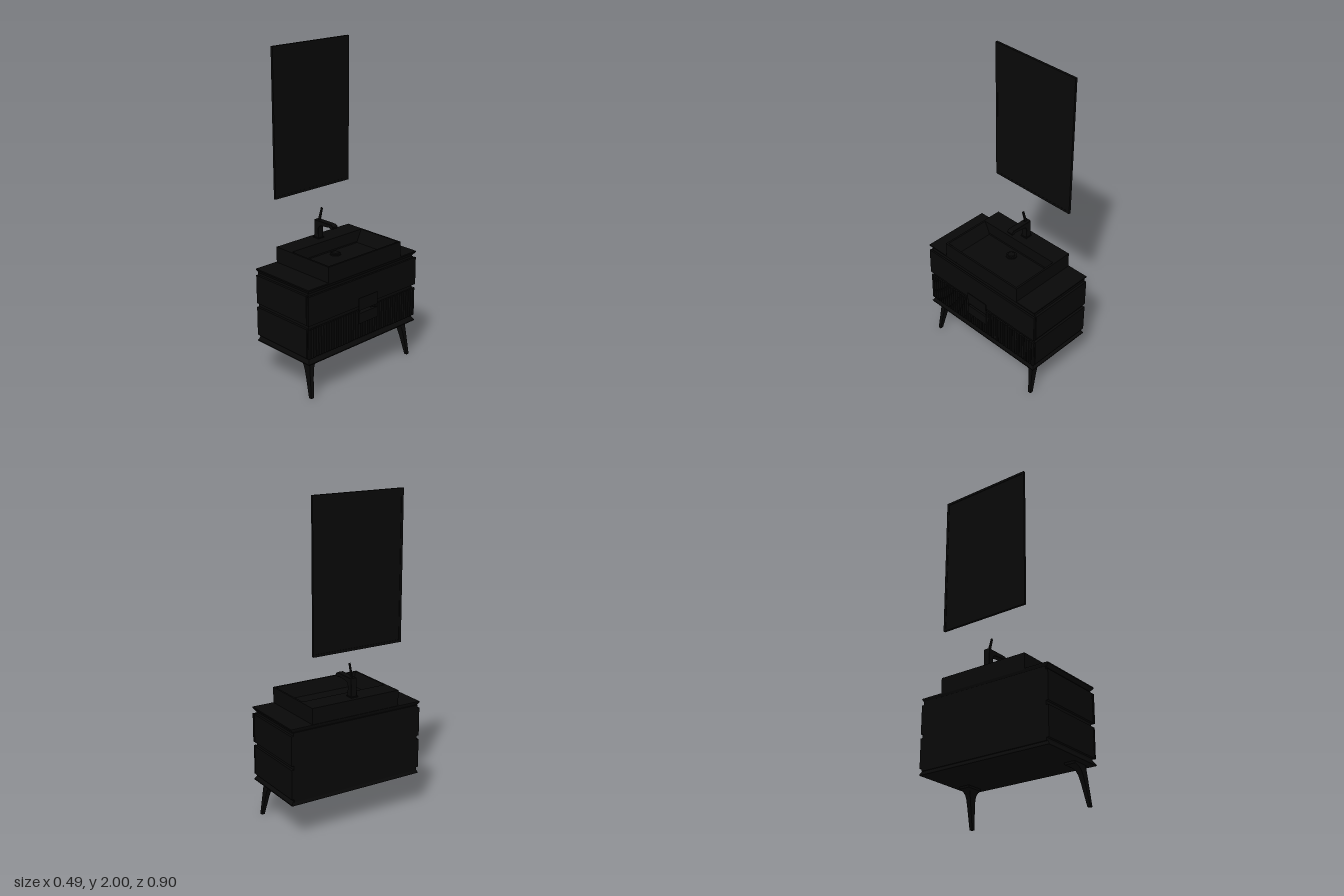
import * as THREE from 'three';

const material = new THREE.MeshStandardMaterial({ color: 0x080808, flatShading: true });

function add(parent, name, geometry) {
  const mesh = new THREE.Mesh(geometry, material);
  mesh.name = name;
  parent.add(mesh);
  return mesh;
}

// Box given by its limits on each axis
function block(parent, name, [x0, x1], [y0, y1], [z0, z1]) {
  const mesh = add(parent, name, new THREE.BoxGeometry(x1 - x0, y1 - y0, z1 - z0));
  mesh.position.set((x0 + x1) / 2, (y0 + y1) / 2, (z0 + z1) / 2);
  return mesh;
}

// Closed skin over rectangular sections, each [y, x0, x1, z0, z1]
function loft(sections) {
  const points = [], index = [];
  for (const [y, x0, x1, z0, z1] of sections) {
    points.push(x0, y, z1, x1, y, z1, x1, y, z0, x0, y, z0);
  }
  for (let s = 0; s < sections.length - 1; s++) {
    for (let i = 0; i < 4; i++) {
      const a = s * 4 + i, b = s * 4 + (i + 1) % 4;
      index.push(a, b, b + 4, a, b + 4, a + 4);
    }
  }
  const t = (sections.length - 1) * 4;
  index.push(t, t + 1, t + 2, t, t + 2, t + 3, 0, 2, 1, 0, 3, 2);
  const geometry = new THREE.BufferGeometry();
  geometry.setAttribute('position', new THREE.Float32BufferAttribute(points, 3));
  geometry.setIndex(index);
  const flat = geometry.toNonIndexed();
  flat.computeVertexNormals();
  return flat;
}

function buildCabinet() {
  const cabinet = new THREE.Group();
  cabinet.name = 'cabinet';
  block(cabinet, 'carcass', [-0.245, 0.195], [0.255, 0.68], [-0.435, 0.435]);

  // Bevelled top and bottom boards
  add(cabinet, 'countertop', loft([
    [0.67, -0.232, 0.195, -0.432, 0.432],
    [0.695, -0.245, 0.215, -0.45, 0.45],
    [0.702, -0.245, 0.215, -0.45, 0.45]]));
  add(cabinet, 'bottomBoard', loft([
    [0.232, -0.245, 0.215, -0.45, 0.45],
    [0.238, -0.245, 0.215, -0.45, 0.45],
    [0.265, -0.232, 0.195, -0.432, 0.432]]));

  // Side panels and drawer fronts, two rows with a gap between
  for (const [row, y] of [['upper', [0.48, 0.66]], ['lower', [0.272, 0.455]]]) {
    for (const s of [-1, 1]) {
      block(cabinet, row + 'SidePanel', [-0.245, 0.195], y, s > 0 ? [0.434, 0.45] : [-0.45, -0.434]);
    }
    block(cabinet, row + 'DrawerFront', [0.202, row === 'upper' ? 0.215 : 0.209], y, [-0.45, 0.45]);
  }

  // Reeded face of the lower drawer
  const reed = new THREE.CylinderGeometry(0.0085, 0.0085, 0.183, 10);
  for (let i = 0; i < 45; i++) {
    const mesh = add(cabinet, 'reed', reed);
    mesh.position.set(0.208, 0.3635, -0.44 + i * 0.02);
    mesh.scale.x = 0.8;
  }

  // Flared pulls, lofted outwards from the drawer fronts
  const pulls = [['upperHandle', 0.505, 0.485, 0.55, 0.47], ['lowerHandle', 0.452, 0.425, 0.452, 0.385]];
  for (const [name, top, bottom, outerTop, outerBottom] of pulls) {
    add(cabinet, name, loft([
      [0.208, -top, -bottom, -0.042, 0.042],
      [0.22, -top, -bottom, -0.042, 0.042],
      [0.24, -outerTop, -outerBottom, -0.08, 0.078],
      [0.245, -outerTop, -outerBottom, -0.08, 0.078]])).rotation.z = -Math.PI / 2;
  }
  return cabinet;
}

// Tapered, splayed leg flaring into its mounting pad
function addLeg(parent, side) {
  const sections = [
    [0, 0.18, 0.2, 0.402, 0.422],
    [0.12, 0.147, 0.185, 0.388, 0.414],
    [0.17, 0.132, 0.178, 0.38, 0.411],
    [0.195, 0.118, 0.175, 0.372, 0.409],
    [0.21, 0.098, 0.173, 0.357, 0.408],
    [0.22, 0.065, 0.172, 0.338, 0.407],
    [0.235, 0.06, 0.171, 0.335, 0.406]];
  add(parent, side > 0 ? 'leftLeg' : 'rightLeg', loft(sections.map(([y, x0, x1, z0, z1]) =>
    side > 0 ? [y, x0, x1, z0, z1] : [y, x0, x1, -z1, -z0])));
}

function buildBasin() {
  const basin = new THREE.Group();
  basin.name = 'basin';
  // Outer walls, rim, sloping bowl and floor in one skin
  add(basin, 'bowl', loft([
    [0.7, -0.24, 0.215, -0.307, 0.293],
    [0.8, -0.24, 0.215, -0.307, 0.293],
    [0.8, -0.11, 0.203, -0.295, 0.281],
    [0.73, -0.105, 0.165, -0.255, 0.241],
    [0.725, -0.1, 0.16, -0.25, 0.236]]));
  add(basin, 'drain', new THREE.CylinderGeometry(0.034, 0.034, 0.008, 24)).position.set(-0.047, 0.728, -0.011);
  add(basin, 'drainCap', new THREE.CylinderGeometry(0.022, 0.024, 0.008, 24)).position.set(-0.047, 0.735, -0.011);
  return basin;
}

function buildFaucet() {
  const faucet = new THREE.Group();
  faucet.name = 'faucet';
  // Body and spout share one curved outline
  const outline = new THREE.Shape();
  outline.moveTo(-0.205, 0.8);
  outline.lineTo(-0.168, 0.8);
  outline.lineTo(-0.17, 0.86);
  outline.quadraticCurveTo(-0.168, 0.888, -0.14, 0.89);
  outline.lineTo(-0.07, 0.897);
  outline.lineTo(-0.06, 0.889);
  outline.lineTo(-0.045, 0.892);
  outline.lineTo(-0.04, 0.905);
  outline.lineTo(-0.055, 0.915);
  outline.lineTo(-0.202, 0.915);
  outline.closePath();
  const body = add(faucet, 'spout', new THREE.ExtrudeGeometry(outline,
    { depth: 0.032, bevelThickness: 0.004, bevelSize: 0.002, bevelSegments: 2, curveSegments: 8 }));
  body.position.z = -0.018;
  block(faucet, 'faucetBase', [-0.212, -0.163], [0.8, 0.806], [-0.025, 0.021]);

  // Thin slanted lever
  const lever = new THREE.Shape([[-0.19, 0.912], [-0.172, 0.912], [-0.15, 0.996], [-0.162, 1.0]]
    .map(([x, y]) => new THREE.Vector2(x, y)));
  add(faucet, 'lever', new THREE.ExtrudeGeometry(lever, { depth: 0.007, bevelEnabled: false })).position.z = -0.0055;
  return faucet;
}

function buildMirror() {
  const mirror = new THREE.Group();
  mirror.name = 'wallMirror';
  block(mirror, 'glass', [-0.242, -0.231], [1.11, 1.99], [-0.29, 0.29]);
  // Slim frame
  for (const s of [-1, 1]) {
    block(mirror, 'frameRail', [-0.245, -0.23], s > 0 ? [1.985, 2] : [1.1, 1.115], [-0.3, 0.3]);
    block(mirror, 'frameStile', [-0.245, -0.23], [1.115, 1.985], s > 0 ? [0.285, 0.3] : [-0.3, -0.285]);
  }
  return mirror;
}

export function createModel() {
  const model = new THREE.Group();
  model.name = 'bathroomVanity';
  model.add(buildCabinet(), buildBasin(), buildFaucet(), buildMirror());
  for (const side of [-1, 1]) addLeg(model, side);
  return model;
}
